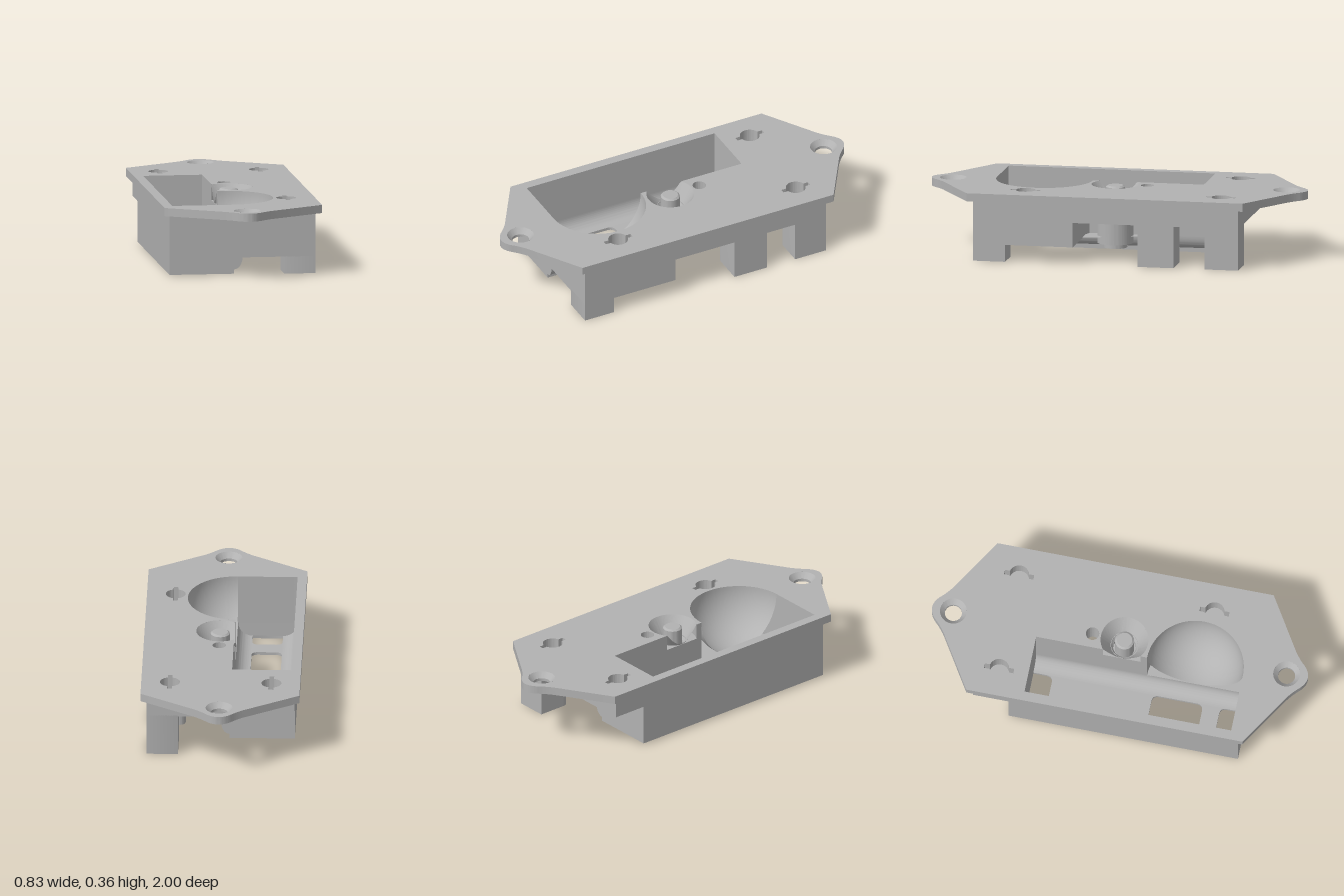
import * as THREE from 'three';
import { toCreasedNormals } from 'three/addons/utils/BufferGeometryUtils.js';

const grey = new THREE.MeshStandardMaterial({ color: 0xb2b2b2, side: THREE.DoubleSide });
grey.name = 'light grey';

const SLOT = { x0: -0.365, x1: -0.055, z0: -0.435, z1: 0.665 };
const DISH = { x: 0.02, z: 0.02, r: 0.125 };
const BOWL = { x: -0.055, z: 0.41, r: 0.255 };

// Polygon in plan (x, z) or section (x, y)
const poly = (pts, Type = THREE.Shape) => new Type(pts.map(p => new THREE.Vector2(p[0], p[1])));
const rect = (x0, z0, x1, z1, Type) => poly([[x0, z0], [x1, z0], [x1, z1], [x0, z1]], Type);
const circle = (x, z, r) => new THREE.Path().absarc(x, z, r, 0, Math.PI * 2, false);

// Rectangle with separate corner radii at its low-z and high-z ends
function roundRect(x0, z0, x1, z1, ra, rb) {
  const p = new THREE.Path();
  p.moveTo(x0 + ra, z0).lineTo(x1 - ra, z0).quadraticCurveTo(x1, z0, x1, z0 + ra);
  p.lineTo(x1, z1 - rb).quadraticCurveTo(x1, z1, x1 - rb, z1);
  p.lineTo(x0 + rb, z1).quadraticCurveTo(x0, z1, x0, z1 - rb);
  p.lineTo(x0, z0 + ra).quadraticCurveTo(x0, z0, x0 + ra, z0);
  return p;
}

// Round hole with a small notch at each end
function keyHole(x, z) {
  const r = 0.052, w = 0.0125, e = 0.078, a = Math.asin(w / r), q = Math.PI / 2;
  const p = new THREE.Path();
  p.absarc(x, z, r, -q + a, q - a, false);
  p.lineTo(x + w, z + e).lineTo(x - w, z + e);
  p.absarc(x, z, r, q + a, 3 * q - a, false);
  p.lineTo(x - w, z - e).lineTo(x + w, z - e);
  p.closePath();
  return p;
}

// Long slot joined with the bowl, and the dish where wanted
function slotHole(withDish) {
  const { x0, x1, z0, z1 } = SLOT, p = new THREE.Path();
  p.moveTo(x0, z0).lineTo(x1, z0);
  if (withDish) {
    const a = Math.acos((x1 - DISH.x) / DISH.r);
    p.absarc(DISH.x, DISH.z, DISH.r, -a, a, false);
  }
  p.absarc(BOWL.x, BOWL.z, BOWL.r, -Math.PI / 2, Math.PI / 2, false);
  p.lineTo(x0, z1);
  p.closePath();
  return p;
}

export function createModel() {
  const group = new THREE.Group();
  const add = (name, geo, crease = 0.6) => {
    const mesh = new THREE.Mesh(toCreasedNormals(geo, crease), grey);
    mesh.name = name;
    group.add(mesh);
    return mesh;
  };
  // Plan shape extruded between two heights
  const layer = (name, shape, y0, y1, holes = []) => {
    shape.holes.push(...holes);
    const geo = new THREE.ExtrudeGeometry(shape, { depth: y1 - y0, bevelEnabled: false, curveSegments: 32 });
    return add(name, geo.rotateX(Math.PI / 2).translate(0, y1, 0));
  };
  // Section (x, y) extruded along z
  const rail = (name, shape, z0, z1) => add(name, new THREE.ExtrudeGeometry(shape,
    { depth: z1 - z0, bevelEnabled: false, curveSegments: 12 }).translate(0, 0, z0));
  const keys = () => [keyHole(-0.265, -0.59), keyHole(0.265, -0.59), keyHole(0.265, 0.45)];
  const pin = () => circle(0.02, -0.15, 0.035);

  // Flange with pointed, rounded ends
  const flange = new THREE.Shape();
  flange.moveTo(-0.415, -0.735).lineTo(-0.13, -0.912).quadraticCurveTo(-0.09, -0.94, -0.065, -0.968);
  flange.quadraticCurveTo(0, -1.032, 0.065, -0.968).quadraticCurveTo(0.09, -0.94, 0.13, -0.912);
  flange.lineTo(0.415, -0.735).lineTo(0.415, 0.735).lineTo(0.13, 0.912);
  flange.quadraticCurveTo(0.09, 0.94, 0.065, 0.968).quadraticCurveTo(0, 1.032, -0.065, 0.968);
  flange.quadraticCurveTo(-0.09, 0.94, -0.13, 0.912).lineTo(-0.415, 0.735);
  flange.closePath();
  layer('flange', flange, 0.32, 0.363,
    [circle(0, -0.887, 0.07), circle(0, 0.887, 0.07), slotHole(true), pin(), ...keys()]);

  // Countersunk screw holes
  const sink = [[0.07, 0.32], [0.045, 0.32], [0.045, 0.335], [0.07, 0.363]].map(p => new THREE.Vector2(...p));
  for (const s of [-1, 1]) add('screwHole', new THREE.LatheGeometry(sink, 40).translate(0, 0, s * 0.887));

  // Body: upper layers, then the deep part around slot and bowl
  layer('upperBody', rect(-0.385, -0.705, 0.385, 0.705), 0.28, 0.32, [slotHole(true), pin(), ...keys()]);
  layer('bodyFloor', rect(-0.385, -0.705, 0.385, 0.705), 0.22, 0.28,
    [slotHole(false), pin(), circle(DISH.x, DISH.z, 0.07)]);
  layer('deepBody', poly([[-0.385, -0.515], [0, -0.515], [0, 0.175], [0.385, 0.175], [0.385, 0.705], [-0.385, 0.705]]),
    0.095, 0.22, [slotHole(false)]);
  layer('bowlUnderside', rect(-0.055, 0.175, 0.385, 0.705), 0.09, 0.1);

  // Channel bottom: rounded sides, pierced floor and end walls
  const right = new THREE.Shape();
  right.moveTo(-0.13, 0.005).lineTo(-0.045, 0.005).lineTo(-0.045, 0.028);
  right.bezierCurveTo(-0.02, 0.028, 0, 0.055, 0, 0.095);
  right.lineTo(-0.055, 0.095).absarc(-0.13, 0.095, 0.075, 0, -Math.PI / 2, true);
  right.closePath();
  rail('channelInnerSide', right, -0.515, 0.705);
  const left = new THREE.Shape();
  left.moveTo(-0.385, 0.005).lineTo(-0.29, 0.005).lineTo(-0.29, 0.02);
  left.absarc(-0.29, 0.095, 0.075, -Math.PI / 2, -Math.PI, true).lineTo(-0.385, 0.095);
  left.closePath();
  rail('channelOuterSide', left, -0.515, 0.705);
  layer('channelFloor', rect(-0.29, -0.515, -0.13, 0.705), 0.005, 0.02, [
    roundRect(-0.289, -0.435, -0.131, -0.33, 0.001, 0.035),
    roundRect(-0.289, 0.2, -0.131, 0.47, 0.035, 0.035),
    roundRect(-0.289, 0.56, -0.131, 0.665, 0.035, 0.001)]);
  for (const [z0, z1] of [[-0.515, SLOT.z0], [SLOT.z1, 0.705]])
    layer('channelEnd', rect(-0.375, z0, -0.05, z1), 0.018, 0.095);

  // Hollow surface whose height depends on the radius, cut off at the slot wall
  const hollow = (name, c, inner, height) => {
    const geo = new THREE.PlaneGeometry(1, 1, 96, 24), pos = geo.attributes.position;
    const edge = c.x - SLOT.x1, half = edge > 0 ? Math.PI : Math.PI / 2;
    for (let i = 0; i < pos.count; i++) {
      const a = pos.getX(i) * 2 * half, t = pos.getY(i) + 0.5, cos = Math.cos(a);
      const limit = edge > 0 && cos < 0 ? Math.min(c.r, edge / -cos) : c.r;
      const r = inner + (limit - inner) * Math.sin(t * Math.PI / 2);
      pos.setXYZ(i, c.x + r * cos, height(r), c.z + r * Math.sin(a));
    }
    add(name, geo, 1);
  };
  hollow('bowl', BOWL, 0, r => 0.363 - Math.sqrt(Math.max(0, BOWL.r ** 2 - r * r)));
  hollow('dish', DISH, 0.06, r => 0.26 + (r - 0.06) / 0.065 * 0.103);

  // Post in the dish and the socket beneath it
  const post = [[0, 0.035], [0.05, 0.035], [0.05, 0.35], [0.04, 0.358], [0, 0.358]];
  add('post', new THREE.LatheGeometry(post.map(p => new THREE.Vector2(...p)), 40).translate(DISH.x, 0, DISH.z), 0.4);
  const socket = new THREE.Shape();
  const cut = Math.acos(-0.07 / 0.095);
  socket.absarc(DISH.x, DISH.z, 0.095, -cut, cut, false).closePath();
  layer('socket', socket, 0.055, 0.25, [circle(DISH.x, DISH.z, 0.06)]);
  const neck = new THREE.Shape().absarc(DISH.x, DISH.z, 0.062, 0, Math.PI * 2, false);
  layer('socketNeck', neck, 0.03, 0.056, [circle(DISH.x, DISH.z, 0.048)]);

  // Legs along the left side, rounded on the inner corners
  const leg = (name, x, z0, z1, ra, rb, y1, holes) => {
    const s = new THREE.Shape();
    s.moveTo(0.385, z0).lineTo(0.385, z1).lineTo(x + rb, z1).quadraticCurveTo(x, z1, x, z1 - rb);
    s.lineTo(x, z0 + ra).quadraticCurveTo(x, z0, x + ra, z0);
    s.closePath();
    layer(name, s, 0, y1, holes);
  };
  leg('frontLeg', 0.22, 0.535, 0.705, 0.03, 0.001, 0.1);
  leg('middleLeg', 0.19, -0.36, -0.17, 0.04, 0.04, 0.225, [circle(0.285, -0.265, 0.05)]);
  leg('rearLeg', 0.22, -0.705, -0.525, 0.001, 0.03, 0.225);

  return group;
}
